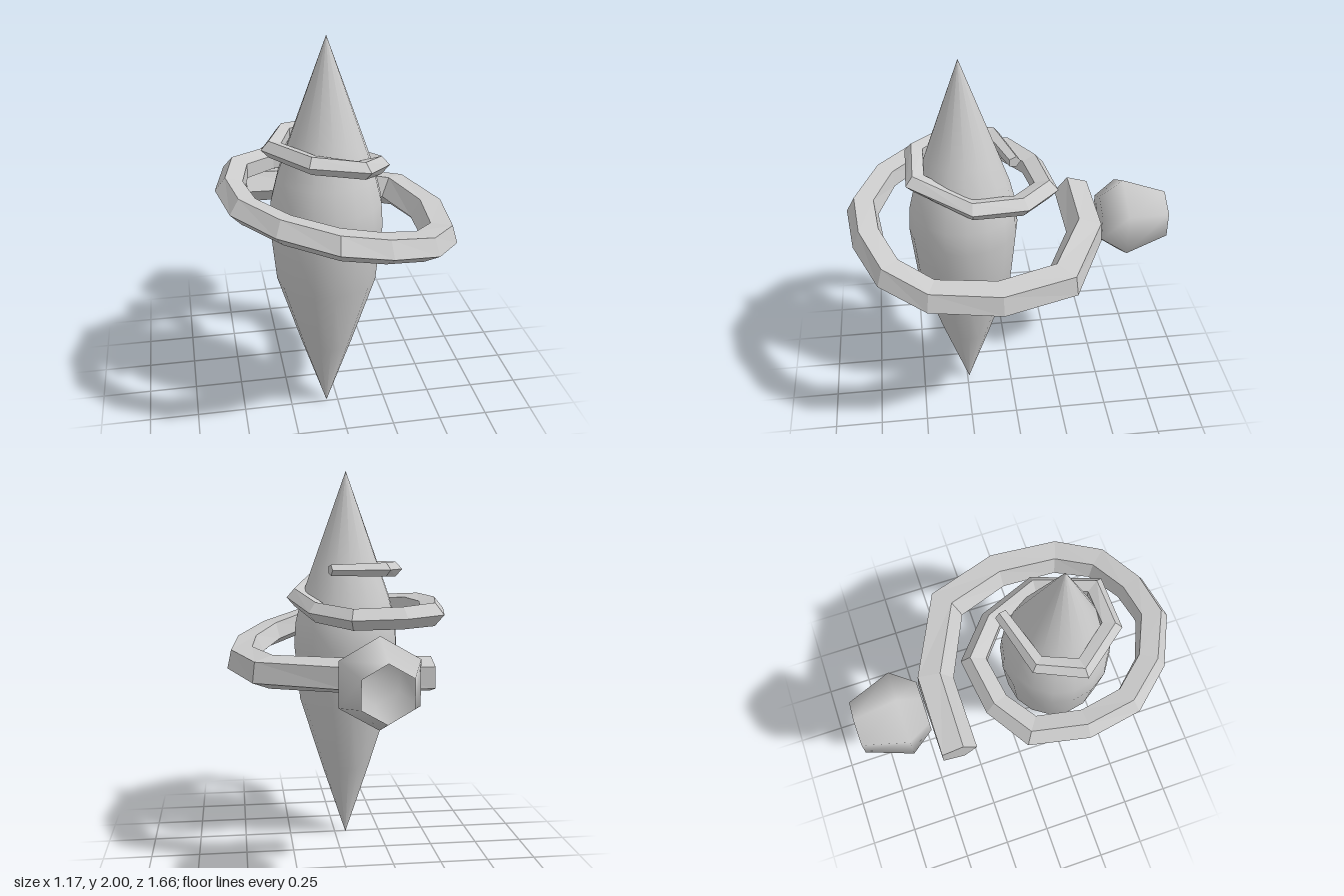
import * as THREE from 'three';

const grey = (opts = {}) => new THREE.MeshStandardMaterial({ color: 0xcccccc, ...opts });

function addMesh(group, name, geometry, material) {
  const mesh = new THREE.Mesh(geometry, material);
  mesh.name = name;
  group.add(mesh);
  return mesh;
}

// Five-sided tapering tube along a path of [x, y, z, radius], twisting slowly as it winds inward
function spiralTube(path, sides = 5) {
  const positions = [], index = [];
  const last = path.length - 1;
  const heading = (i) => new THREE.Vector2(path[i + 1][0] - path[i][0], path[i + 1][2] - path[i][2]).normalize();
  path.forEach(([x, y, z, r], i) => {
    const before = heading(Math.max(i - 1, 0)), after = heading(Math.min(i, last - 1));
    const t = before.clone().add(after).normalize();
    const wide = 1.1 * r / Math.max(t.dot(after), 0.8);
    const twist = -Math.PI / 5 * Math.min(i / 10, 1);
    for (let j = 0; j < sides; j++) {
      const a = twist + j * 2 * Math.PI / sides;
      const inward = Math.cos(a) * wide;
      positions.push(x - t.y * inward, y + Math.sin(a) * r, z + t.x * inward);
    }
  });
  for (let i = 0; i < last; i++) {
    for (let j = 0; j < sides; j++) {
      const k = (j + 1) % sides;
      const a = i * sides + j, b = a + sides, c = i * sides + k, d = c + sides;
      index.push(a, b, c, b, d, c);
    }
  }
  // End caps
  for (let j = 1; j < sides - 1; j++) {
    const e = last * sides;
    index.push(0, j, j + 1, e, e + j + 1, e + j);
  }
  const geometry = new THREE.BufferGeometry();
  geometry.setAttribute('position', new THREE.Float32BufferAttribute(positions, 3));
  geometry.setIndex(index);
  const flat = geometry.toNonIndexed();
  flat.computeVertexNormals();
  return flat;
}

export function createModel() {
  const group = new THREE.Group();

  // Pointed spindle body
  const profile = [
    [0, 0], [0.132, 0.4], [0.25, 0.78], [0.28, 1.08], [0.272, 1.2],
    [0.24, 1.33], [0.18, 1.5], [0, 2],
  ].map(([r, y]) => new THREE.Vector2(r, y));
  const body = addMesh(group, 'spindleBody', new THREE.LatheGeometry(profile, 16), grey());
  body.position.set(-0.06, 0, 0.24);

  // Coil winding around the body and rising inward
  const path = [
    [-0.40, 1.025, -0.39, 0.09], [0.01, 1.025, -0.39, 0.09], [0.39, 1.02, -0.21, 0.088],
    [0.495, 1.02, 0.11, 0.085], [0.465, 1.04, 0.43, 0.08], [0.335, 1.09, 0.62, 0.078],
    [0.125, 1.15, 0.72, 0.076], [-0.085, 1.2, 0.745, 0.074], [-0.315, 1.24, 0.635, 0.07],
    [-0.475, 1.265, 0.455, 0.068], [-0.52, 1.27, 0.22, 0.066], [-0.47, 1.27, -0.03, 0.064],
    [-0.295, 1.27, -0.145, 0.06], [-0.05, 1.27, -0.18, 0.057], [0.115, 1.29, -0.035, 0.054],
    [0.2, 1.34, 0.21, 0.05], [0.07, 1.43, 0.47, 0.045], [-0.16, 1.47, 0.465, 0.045],
    [-0.32, 1.48, 0.265, 0.043], [-0.24, 1.495, 0.07, 0.038], [0.05, 1.5, -0.01, 0.03],
  ];
  addMesh(group, 'spiralCoil', spiralTube(path), grey({ flatShading: true }));

  // Six-sided open cup at the back, resting against the coil
  const cupProfile = [[0, 0], [0.13, 0], [0.22, 0.12], [0.135, 0.35]]
    .map(([r, y]) => new THREE.Vector2(r, y));
  const cupGeometry = new THREE.LatheGeometry(cupProfile, 6).rotateX(-Math.PI / 2);
  const cup = addMesh(group, 'rearCup', cupGeometry, grey({ side: THREE.DoubleSide }));
  cup.position.set(-0.112, 1.03, -0.48);

  return group;
}
